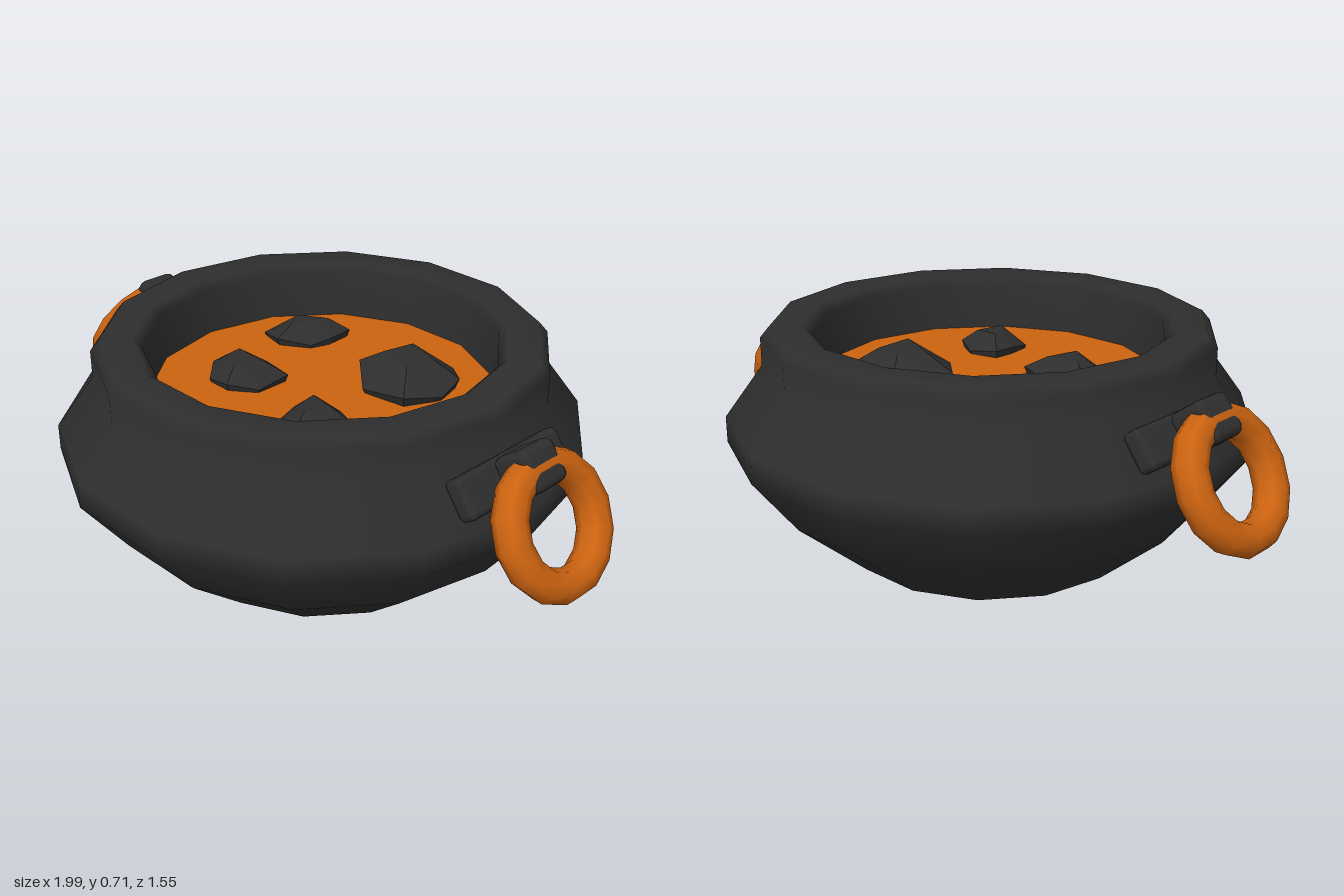
import * as THREE from 'three';
import { RoundedBoxGeometry } from 'three/addons/geometries/RoundedBoxGeometry.js';
import { ConvexGeometry } from 'three/addons/geometries/ConvexGeometry.js';

const SIDES = 14;
const EMBER_Y = 0.54;

export function createModel() {
  const model = new THREE.Group();
  model.name = 'brazier';

  const iron = new THREE.MeshStandardMaterial({ name: 'dark iron', color: 0x2e2e2e });
  const orange = new THREE.MeshStandardMaterial({ name: 'glowing orange', color: 0xcc6310 });

  const add = (parent, name, geometry, material) => {
    const mesh = new THREE.Mesh(geometry, material);
    mesh.name = name;
    parent.add(mesh);
    return mesh;
  };

  // Bowl wall, rim and inner lining, with a corner pointing along x
  const profile = [
    [0.443, 0], [0.66, 0.185], [0.795, 0.36], [0.795, 0.44], [0.68, 0.595],
    [0.68, 0.68], [0.655, 0.71], [0.555, 0.71], [0.53, 0.685], [0.515, 0.5],
  ].map(([r, y]) => new THREE.Vector2(r, y));
  add(model, 'bowl', new THREE.LatheGeometry(profile, SIDES, Math.PI / 2), iron);

  // Flat underside, kept separate for a sharp edge
  add(model, 'bowlBase', new THREE.CircleGeometry(0.443, SIDES), iron).rotation.x = Math.PI / 2;

  // Ember bed inside the bowl
  const embers = add(model, 'emberBed', new THREE.CircleGeometry(0.519, SIDES), orange);
  embers.rotation.x = -Math.PI / 2;
  embers.position.y = EMBER_Y;

  // Faceted coals: plan outline [x, z], with a smaller crown on top
  const coals = [
    { height: 0.065, outline: [[-0.18, -0.3], [-0.29, -0.3], [-0.375, -0.22], [-0.38, -0.11],
      [-0.29, -0.085], [-0.2, -0.145], [-0.175, -0.21]] },
    { height: 0.09, outline: [[0.085, -0.325], [0.225, -0.34], [0.31, -0.27], [0.33, -0.17],
      [0.28, -0.055], [0.13, -0.04], [0.01, -0.15], [0, -0.22]] },
    { height: 0.065, outline: [[-0.31, 0.07], [-0.21, 0.03], [-0.08, 0.065], [-0.085, 0.18],
      [-0.16, 0.24], [-0.245, 0.235], [-0.31, 0.165]] },
    { height: 0.065, outline: [[0.085, 0.12], [0.18, 0.1], [0.255, 0.14], [0.29, 0.235],
      [0.19, 0.295], [0.095, 0.27], [0.08, 0.19]] },
  ];
  for (const { height, outline } of coals) {
    const n = outline.length;
    const cx = outline.reduce((s, p) => s + p[0], 0) / n;
    const cz = outline.reduce((s, p) => s + p[1], 0) / n;
    const points = [];
    outline.forEach(([x, z], i) => {
      const at = (scale, y) =>
        points.push(new THREE.Vector3(cx + (x - cx) * scale, EMBER_Y + y, cz + (z - cz) * scale));
      at(0.85, -0.03);
      at(1, height * (i % 2 ? 0.15 : 0.35));
      if (i % 2 === 0) at(0.5, height * (i % 4 ? 0.9 : 1));
    });
    add(model, 'coal', new ConvexGeometry(points), iron);
  }

  // Handles: wall plate, clip and hanging ring on each side
  for (const [side, turn] of [['left', 0], ['right', Math.PI]]) {
    const handle = new THREE.Group();
    handle.name = side + 'Handle';
    handle.rotation.y = turn;
    model.add(handle);

    const slope = Math.atan2(0.6, 0.8);
    const plate = add(handle, 'wallPlate', new RoundedBoxGeometry(0.06, 0.12, 0.42, 2, 0.018), iron);
    plate.position.set(0.717, 0.53, 0);
    plate.rotation.z = slope;

    const clip = add(handle, 'ringClip', new RoundedBoxGeometry(0.125, 0.125, 0.135, 2, 0.025), iron);
    clip.position.set(0.783, 0.572, 0);
    clip.rotation.z = slope;

    const ringGeometry = new THREE.TorusGeometry(0.165, 0.05, 8, 14).rotateY(Math.PI / 2);
    const ring = add(handle, 'ring', ringGeometry, orange);
    ring.position.set(0.872, 0.44, 0);
    ring.rotation.z = 0.49;
  }

  return model;
}
